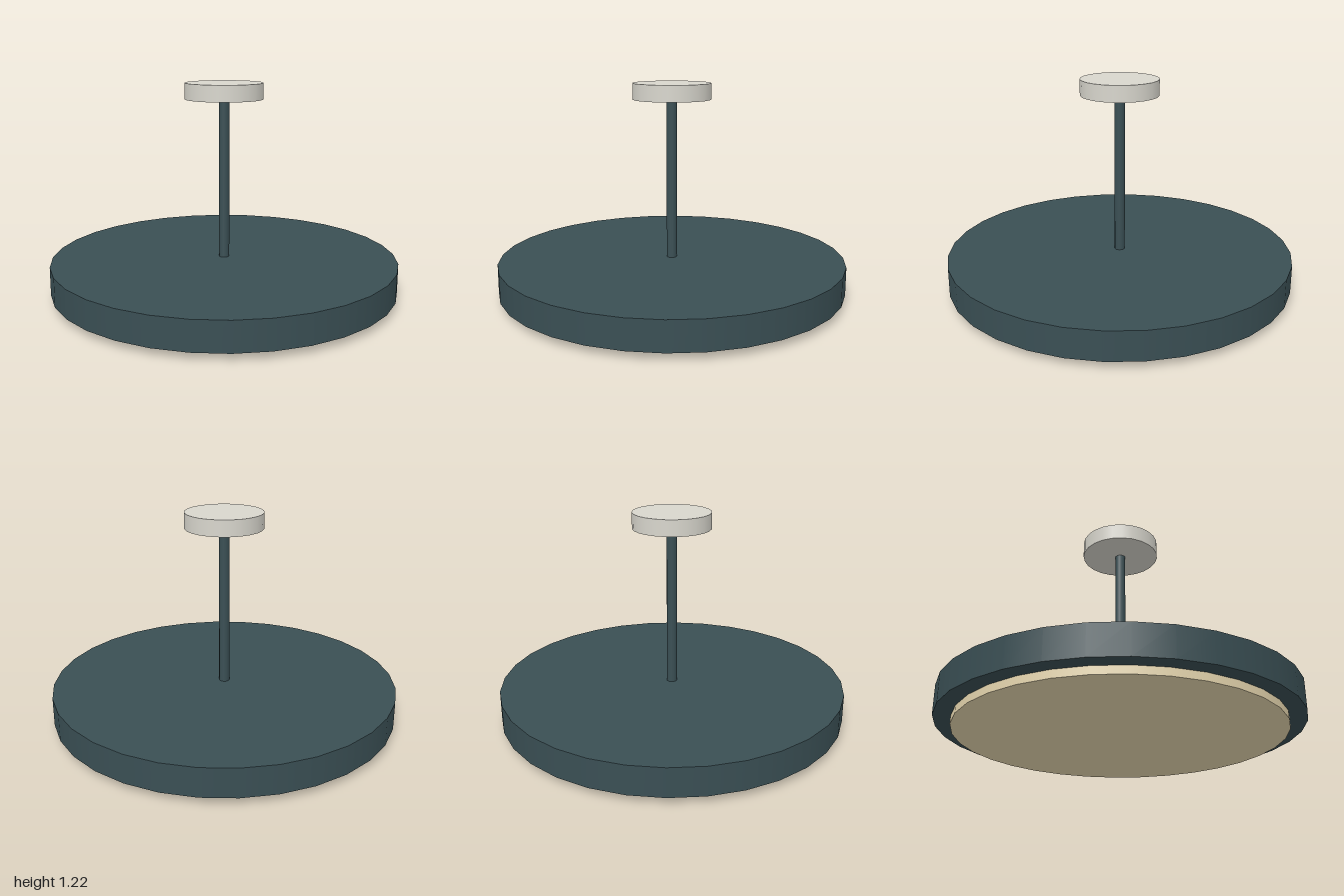
import * as THREE from 'three';

const teal = new THREE.MeshStandardMaterial({ color: 0x3a4f54 });
const offWhite = new THREE.MeshStandardMaterial({ color: 0xd8d6cd });
const cream = new THREE.MeshStandardMaterial({ color: 0xe8d8b0 });

// Upright round part between two heights
function disc(name, radius, bottom, top, sides, material) {
  const mesh = new THREE.Mesh(
    new THREE.CylinderGeometry(radius, radius, top - bottom, sides), material);
  mesh.name = name;
  mesh.position.y = (bottom + top) / 2;
  return mesh;
}

export function createModel() {
  const lamp = new THREE.Group();
  lamp.name = 'ceilingLamp';
  lamp.add(
    disc('diffuser', 0.906, 0, 0.06, 32, cream),
    disc('shade', 1, 0.042, 0.206, 32, teal),
    disc('rod', 0.03, 0.2, 1.13, 12, teal),
    disc('ceilingCanopy', 0.222, 1.124, 1.216, 24, offWhite),
  );
  return lamp;
}
